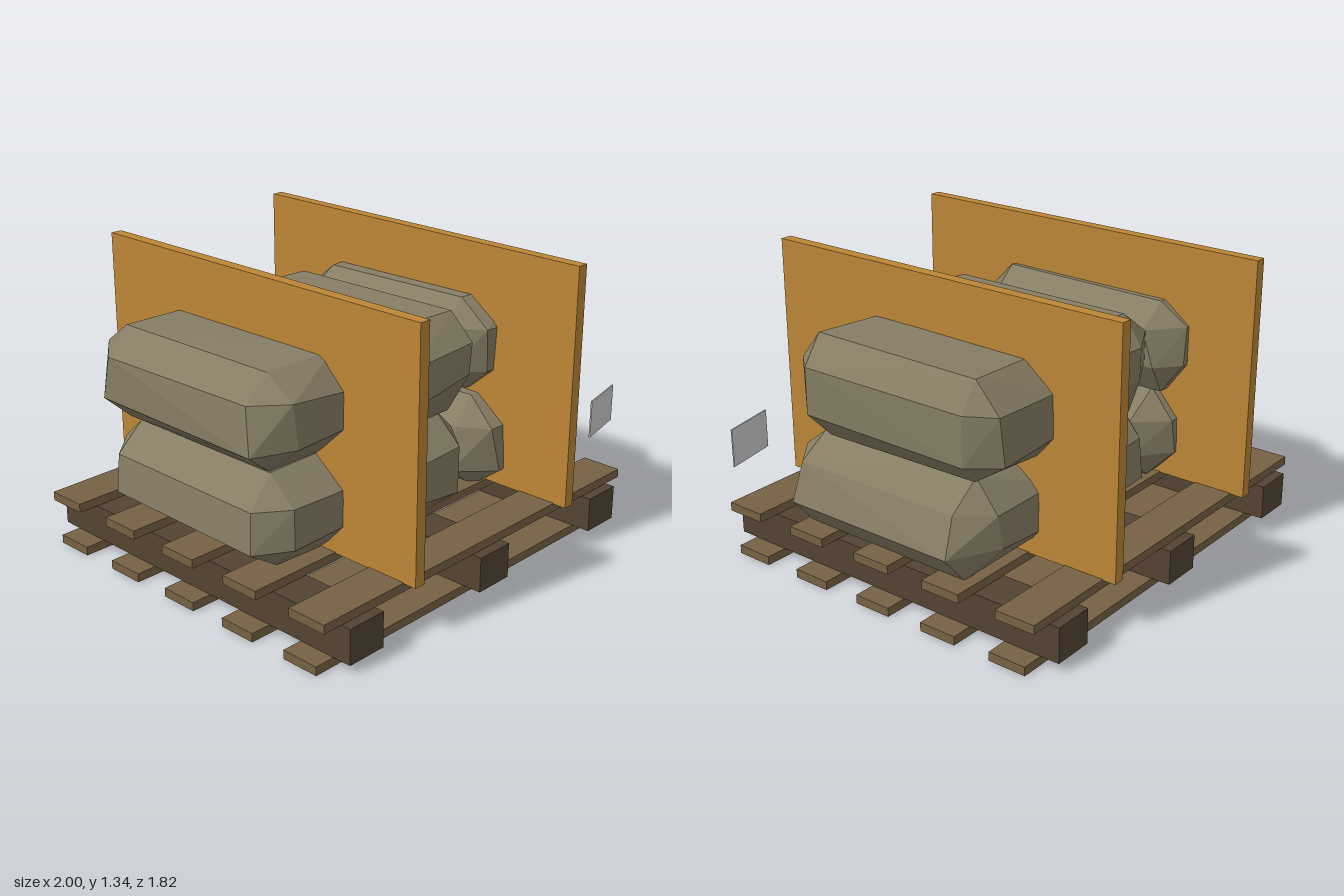
import * as THREE from 'three';
import { ConvexGeometry } from 'three/addons/geometries/ConvexGeometry.js';

const mat = (color) => new THREE.MeshStandardMaterial({ color, flatShading: true, roughness: 0.9 });

function box(name, material, size, pos) {
  const mesh = new THREE.Mesh(new THREE.BoxGeometry(...size), material);
  mesh.position.set(...pos);
  mesh.name = name;
  return mesh;
}

function seeded(seed) {
  let s = seed * 7919 + 17;
  return () => (s = (s * 16807) % 2147483647) / 2147483647 - 0.5;
}

// Faceted sack: an eight-corner outline (clockwise from top left) run along z,
// closed by a smaller four-corner face at each end.
function sack(name, material, outline, zBack, zFront, seed) {
  const rnd = seeded(seed);
  const points = [];
  const xs = [outline[0][0], outline[1][0]];
  for (const [zEnd, dir] of [[zBack, 1], [zFront, -1]]) {
    for (const [x, y] of outline) {
      points.push(new THREE.Vector3(x + rnd() * 0.02, y + rnd() * 0.015, zEnd + dir * (0.14 + rnd() * 0.06)));
    }
    for (const i of [0, 1]) {
      const sides = i ? [outline[2][1], outline[3][1]] : [outline[7][1], outline[6][1]];
      for (const y of sides) {
        points.push(new THREE.Vector3(xs[i] + rnd() * 0.05, y + rnd() * 0.03, zEnd + dir * (0.012 + rnd() * 0.024)));
      }
    }
  }
  const mesh = new THREE.Mesh(new ConvexGeometry(points), material);
  mesh.name = name;
  return mesh;
}

export function createModel() {
  const model = new THREE.Group();
  model.name = 'loadedPallet';
  const plank = mat(0x766143);
  const beam = mat(0x534433);
  const plywood = mat(0xbc8636);
  const cloth = mat(0x867d64);

  // Pallet
  const pallet = new THREE.Group();
  pallet.name = 'pallet';
  for (const x of [-0.81, -0.02, 0.765]) {
    pallet.add(box('palletBeam', beam, [0.19, 0.16, 1.79], [x, 0.12, 0]));
  }
  for (let i = -2; i <= 2; i++) {
    pallet.add(box('topBoard', plank, [1.96, 0.04, 0.19], [-0.02, 0.22, i * 0.377]));
    pallet.add(box('bottomBoard', plank, [1.96, 0.04, 0.18], [-0.02, 0.02, i * 0.358]));
  }
  model.add(pallet);

  // Sacks, two layers of three
  const sacks = new THREE.Group();
  sacks.name = 'sacks';
  const layout = [
    ['upperRightSack', [[-0.82, 1.075], [-0.47, 1.085], [-0.34, 0.97], [-0.36, 0.8], [-0.45, 0.66], [-0.82, 0.66], [-0.96, 0.78], [-0.95, 0.98]], -0.61, 0.53],
    ['upperMiddleSack', [[-0.16, 1.1], [0.18, 1.11], [0.28, 0.99], [0.3, 0.85], [0.2, 0.645], [-0.22, 0.64], [-0.34, 0.82], [-0.34, 0.98]], -0.58, 0.59],
    ['upperLeftSack', [[0.4, 1.09], [0.81, 1.11], [0.905, 0.98], [0.905, 0.76], [0.8, 0.65], [0.42, 0.66], [0.29, 0.78], [0.28, 0.98]], -0.6, 0.505],
    ['lowerRightSack', [[-0.8, 0.645], [-0.47, 0.655], [-0.33, 0.53], [-0.31, 0.36], [-0.43, 0.24], [-0.8, 0.24], [-0.955, 0.36], [-0.94, 0.53]], -0.57, 0.53],
    ['lowerMiddleSack', [[-0.2, 0.64], [0.15, 0.64], [0.28, 0.53], [0.26, 0.32], [0.19, 0.235], [-0.2, 0.21], [-0.32, 0.33], [-0.32, 0.52]], -0.56, 0.57],
    ['lowerLeftSack', [[0.4, 0.64], [0.76, 0.645], [0.89, 0.53], [0.94, 0.36], [0.85, 0.24], [0.42, 0.21], [0.25, 0.33], [0.29, 0.53]], -0.53, 0.57],
  ];
  layout.forEach(([name, outline, zBack, zFront], i) => sacks.add(sack(name, cloth, outline, zBack, zFront, i + 1)));
  model.add(sacks);

  // Upright divider panels
  for (const x of [-0.52, 0.48]) {
    model.add(box('dividerPanel', plywood, [0.053, 1.105, 1.82], [x, 0.788, 0]));
  }

  // Small tag plate floating at the front corner
  const tag = box('tagPlate', mat(0xcccccc), [0.25, 0.175, 0.006], [0.877, 0.54, 0.787]);
  tag.rotation.y = 0.21;
  model.add(tag);

  return model;
}
